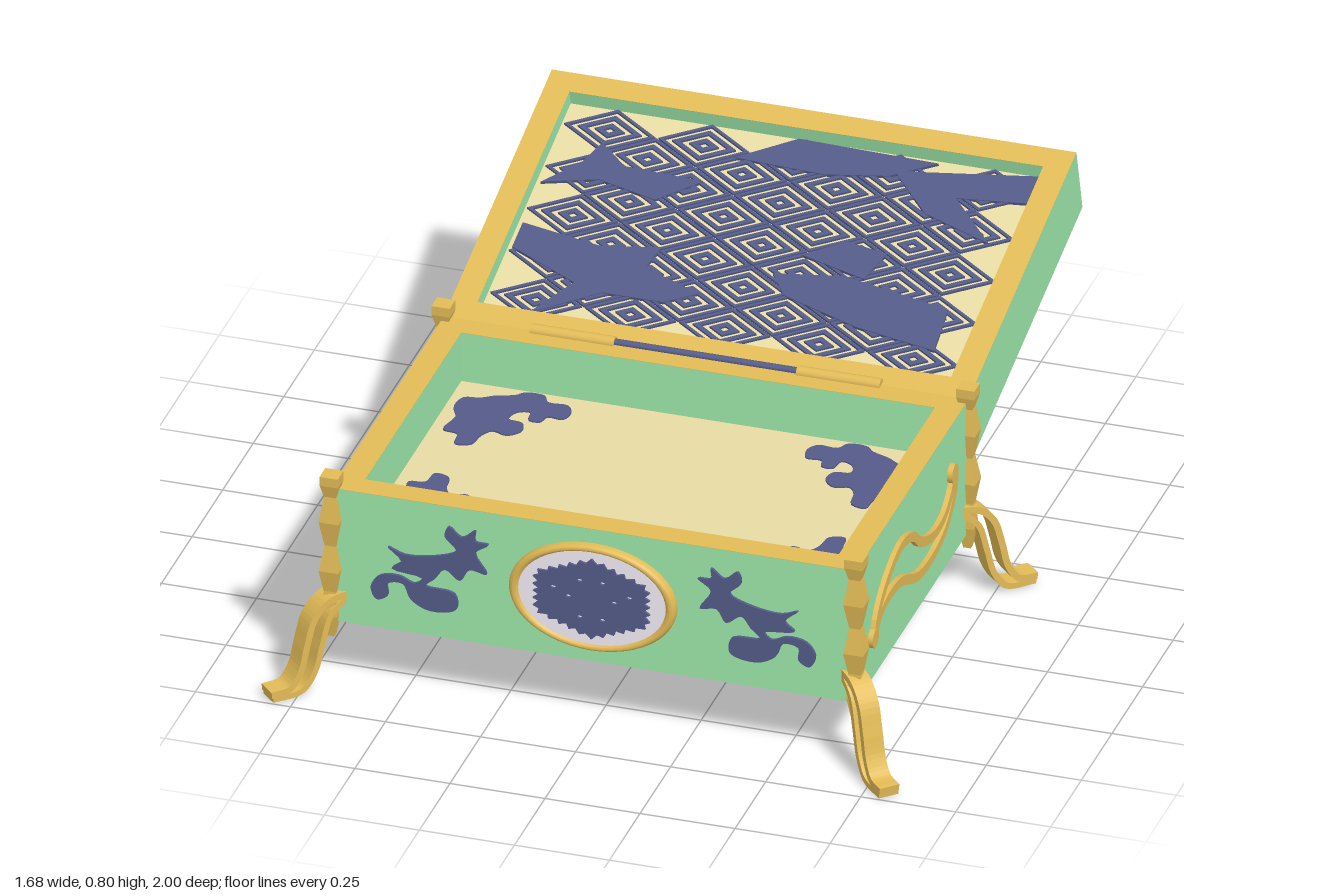
import * as THREE from 'three';

const mat = (color, extra = {}) => new THREE.MeshStandardMaterial({ color, ...extra });
const GREEN = mat(0x9de7aa), GOLD = mat(0xe2bb57), BLUE = mat(0x545b88);
const TAN = mat(0xe7dba3), WHITE = mat(0xf4edf8), GOLD_FLAT = mat(0xe2bb57, { flatShading: true });

function add(parent, name, geometry, material, x = 0, y = 0, z = 0) {
  const mesh = new THREE.Mesh(geometry, material);
  mesh.name = name;
  mesh.position.set(x, y, z);
  parent.add(mesh);
  return mesh;
}

const polygon = pts => new THREE.Shape(pts.map(([x, y]) => new THREE.Vector2(x, y)));
const extrude = (shapes, depth) => new THREE.ExtrudeGeometry(shapes, { depth, bevelEnabled: false });

// Closed smooth outline through a few points
function blob(pts) {
  const curve = new THREE.CatmullRomCurve3(pts.map(([x, y]) => new THREE.Vector3(x, y, 0)), true);
  return new THREE.Shape(curve.getPoints(pts.length * 4).slice(0, -1).map(p => new THREE.Vector2(p.x, p.y)));
}

// Flat band of thickness t that follows a curve and is w wide
function ribbon(pts, t, w) {
  const curve = new THREE.CatmullRomCurve3(pts.map(([x, y]) => new THREE.Vector3(x, y, 0)));
  const a = [], b = [];
  for (let i = 0; i <= 30; i++) {
    const p = curve.getPoint(i / 30), d = curve.getTangent(i / 30);
    a.push([p.x - d.y * t / 2, p.y + d.x * t / 2]);
    b.unshift([p.x + d.y * t / 2, p.y - d.x * t / 2]);
  }
  return extrude(polygon([...a, ...b]), w).translate(0, 0, -w / 2);
}

// Rectangular frame lying flat, its top at y = 0
function frame(w, d, wall, h) {
  const rect = (x, y) => [[-x, -y], [x, -y], [x, y], [-x, y]];
  const shape = polygon(rect(w / 2, d / 2));
  shape.holes.push(polygon(rect(w / 2 - wall, d / 2 - wall).reverse()));
  return extrude(shape, h).rotateX(-Math.PI / 2).translate(0, -h, 0);
}

// Open tray: solid base, walls, gilt rim and lining; rim at y = 0
function tray(name, w, d, h, recess) {
  const wall = 0.067, rim = 0.001, g = new THREE.Group();
  g.name = name;
  add(g, name + 'Base', new THREE.BoxGeometry(w, h - recess, d), GREEN, 0, -(h + recess) / 2, 0);
  add(g, name + 'Walls', frame(w, d, wall, recess - rim), GREEN, 0, -rim, 0);
  add(g, name + 'Rim', frame(w, d, wall, rim), GOLD);
  add(g, name + 'Lining', new THREE.BoxGeometry(w - 2 * wall, 0.006, d - 2 * wall), TAN, 0, -recess + 0.003, 0);
  return g;
}

// Lattice of nested diamonds
function lidPattern() {
  const shapes = [], cw = 0.248, ch = 0.156;
  const diamond = (x, y, s) => [[x - s * cw / 2, y], [x, y - s * ch / 2], [x + s * cw / 2, y], [x, y + s * ch / 2]];
  for (const off of [0, 1])
    for (let i = 0; i < 5 - off; i++)
      for (let j = 0; j < 5 - off; j++) {
        const x = (i - 2 + off / 2) * cw, y = (j - 2 + off / 2) * ch;
        for (const [outer, inner] of [[0.97, 0.85], [0.68, 0.5], [0.32, 0.12]]) {
          const s = polygon(diamond(x, y, outer));
          s.holes.push(polygon(diamond(x, y, inner).reverse()));
          shapes.push(s);
        }
      }
  return extrude(shapes, 0.008).rotateX(-Math.PI / 2);
}

// Solid patches over the lattice: x, and z measured from the hinge
const PATCHES = [
  [[-.16, -.74], [-.02, -.84], [.35, -.83], [.24, -.76], [.08, -.73]],
  [[.25, -.78], [.61, -.84], [.61, -.74], [.43, -.72], [.56, -.58], [.37, -.65]],
  [[-.5, -.72], [-.42, -.65], [-.21, -.64], [-.31, -.55], [-.47, -.59], [-.61, -.55], [-.53, -.64]],
  [[-.61, -.4], [-.39, -.36], [-.24, -.39], [-.26, -.31], [-.1, -.25], [-.18, -.2], [-.34, -.2], [-.5, -.09], [-.42, -.22], [-.61, -.31]],
  [[.06, -.36], [.24, -.39], [.53, -.33], [.54, -.18], [.32, -.22], [.11, -.29]],
  [[.11, -.44], [.21, -.51], [.32, -.49], [.29, -.39]],
];

// Leafy spray in one corner of the case floor: x, z
const FLORAL = [[-.47, .03], [-.45, .01], [-.4, .01], [-.38, .04], [-.33, .04], [-.31, .07], [-.32, .11], [-.36, .11], [-.37, .14], [-.4, .14],
  [-.41, .1], [-.44, .11], [-.45, .15], [-.41, .16], [-.4, .2], [-.43, .23], [-.47, .22], [-.49, .25], [-.5, .3], [-.54, .31], [-.55, .26],
  [-.59, .25], [-.58, .18], [-.6, .13], [-.59, .08], [-.55, .07], [-.52, .05]];

const SCROLL = [[-54, 42], [-49.5, 40.5], [-41.5, 41.5], [-36, 44], [-39, 47.5], [-38, 50.5], [-34.5, 48], [-31, 50.5], [-31, 47.5],
  [-27.5, 47], [-31, 44], [-28, 38.5], [-32.5, 39], [-35, 35.5], [-39, 38], [-41.5, 35], [-44, 32.5], [-36.5, 31.5], [-36, 27],
  [-43, 25.5], [-48, 28], [-50, 32], [-54, 31.5], [-54, 28], [-57, 26.5], [-58.5, 30], [-56, 33.5], [-51, 34.2], [-47, 32.7],
  [-45, 34.5], [-53, 36], [-50.5, 38.5]];

// Corner post and its split cabriole leg; the leg reaches out along the diagonal
function corner(sx, sz) {
  const g = new THREE.Group();
  g.name = 'cornerLeg';
  const profile = [[0, .14], [.01, .14], [.02, .2], [.016, .27], [.026, .33], [.014, .4], [.026, .47], [.015, .54], [.024, .575], [.024, .6], [0, .6]];
  const pts = profile.map(([r, y]) => new THREE.Vector2(r * Math.SQRT2, y));
  add(g, 'post', new THREE.LatheGeometry(pts, 4, Math.PI / 4), GOLD_FLAT);
  const leg = new THREE.Group();
  leg.name = 'leg';
  leg.rotation.y = -Math.atan2(sz, sx);
  add(leg, 'outerStrand', ribbon([[-.035, .262], [.02, .25], [.06, .21], [.082, .14], [.1, .07], [.13, .028], [.182, .022]], 0.018, 0.055), GOLD);
  add(leg, 'innerStrand', ribbon([[-.03, .25], [.015, .21], [.04, .13], [.06, .06], [.095, .015], [.178, .009]], 0.016, 0.055), GOLD);
  g.add(leg);
  g.position.set(sx * 0.69, 0, sz > 0 ? 0.85 : -0.065);
  return g;
}

// Double-strand scroll for the +x side
function sideScroll() {
  const g = new THREE.Group();
  g.name = 'sideScroll';
  const strands = [
    [[.73, .3], [.71, .35], [.647, .406], [.519, .452], [.42, .43], [.36, .382], [.25, .342], [.155, .35], [.09, .4], [.075, .44]],
    [[.725, .31], [.69, .345], [.625, .362], [.519, .353], [.385, .295], [.25, .285], [.145, .312], [.075, .38], [.065, .42]],
  ];
  for (const s of strands)
    add(g, 'strand', ribbon(s.map(([z, y]) => [-z, y]), 0.026, 0.018).rotateY(Math.PI / 2), GOLD, 0.694);
  for (const [z, y] of [[.732, .305], [.083, .43]])
    add(g, 'curl', new THREE.CylinderGeometry(0.026, 0.026, 0.02, 16).rotateZ(Math.PI / 2), GOLD, 0.694, y, z);
  return g;
}

// Oval front plaque
function medallion() {
  const g = new THREE.Group();
  g.name = 'medallion';
  const oval = pts => new THREE.LatheGeometry(pts.map(p => new THREE.Vector2(...p)), 48).rotateX(Math.PI / 2).scale(0.22, 0.15, 1);
  add(g, 'medallionFrame', oval([[1, 0], [1, .012], [.98, .021], [.94, .025], [.9, .021], [.87, .012]]), GOLD);
  add(g, 'medallionPlate', oval([[.89, .016], [0, .016]]), WHITE);
  const star = [];
  for (let i = 0; i < 64; i++) {
    const a = i / 64 * Math.PI * 2, r = (i % 2 ? 0.91 : 1) - 0.12 * Math.abs(Math.cos(a * 3));
    star.push([Math.cos(a) * r * 0.175, Math.sin(a) * r * 0.115]);
  }
  const motif = polygon(star);
  for (const s of [-1, 1])
    for (const [x, y] of [[.03, .05], [.06, 0], [.03, -.055], [.1, .02]])
      motif.holes.push(new THREE.Path().absellipse(s * x, y, 0.007, 0.004, 0, Math.PI * 2));
  add(g, 'medallionMotif', extrude(motif, 0.008), BLUE, 0, 0, 0.015);
  g.position.set(0, 0.37, 0.85);
  return g;
}

export function createModel() {
  const model = new THREE.Group();
  model.name = 'casket';

  // Case with floral corners on its floor
  const box = tray('case', 1.38, 0.92, 0.38, 0.145);
  box.position.set(0, 0.56, 0.39);
  model.add(box);
  for (const sx of [-1, 1])
    for (const sz of [-1, 1]) {
      const outline = FLORAL.map(([x, z]) => [-sx * x, -sz * (0.39 - z)]);
      add(box, 'floorFloral', extrude(blob(outline), 0.006).rotateX(-Math.PI / 2), BLUE, 0, -0.141, 0);
      model.add(corner(sx, sz));
    }

  // Lid tilted open about the back edge
  const hinge = new THREE.Group();
  hinge.name = 'lidAssembly';
  hinge.position.set(0, 0.56, -0.07);
  hinge.rotation.x = THREE.MathUtils.degToRad(15);
  const lid = tray('lid', 1.38, 0.912, 0.19, 0.047);
  lid.position.z = -0.456;
  add(lid, 'lidLattice', lidPattern(), BLUE, 0, -0.043, 0);
  for (const p of PATCHES)
    add(lid, 'lidPatch', extrude(polygon(p.map(([x, z]) => [x, -z - 0.456])), 0.01).rotateX(-Math.PI / 2), BLUE, 0, -0.043, 0);
  hinge.add(lid);
  model.add(hinge);

  // Hinge barrel
  const rod = (r, l) => new THREE.CylinderGeometry(r, r, l, 12).rotateZ(Math.PI / 2);
  add(model, 'hingePin', rod(0.01, 0.5), BLUE, 0, 0.562, -0.07);
  for (const s of [-1, 1]) add(model, 'hingeSleeve', rod(0.017, 0.22), GOLD, s * 0.35, 0.56, -0.07);

  // Front and side ornaments
  model.add(medallion());
  for (const s of [-1, 1]) {
    const scroll = SCROLL.map(([x, y]) => [-s * x / 100, y / 100]);
    add(model, 'frontScroll', extrude(blob(scroll), 0.012), BLUE, 0, 0, 0.846);
    const side = sideScroll();
    side.scale.x = s;
    model.add(side);
  }
  return model;
}
